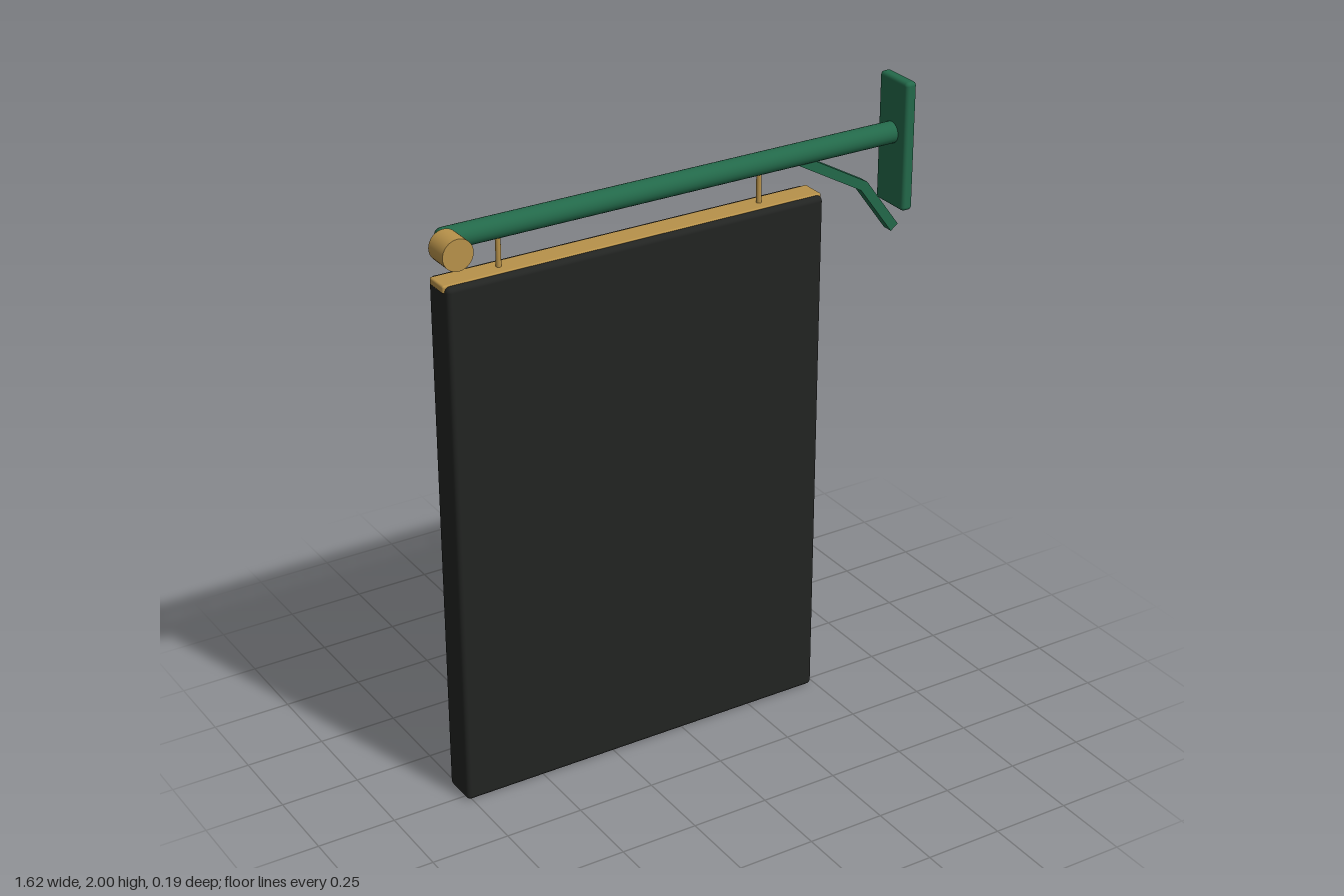
import * as THREE from 'three';
import { RoundedBoxGeometry } from 'three/addons/geometries/RoundedBoxGeometry.js';

const Z = -0.027; // depth of the sign's middle plane

export function createModel() {
  const group = new THREE.Group();
  const green = new THREE.MeshStandardMaterial({ color: 0x23694a });
  const gold = new THREE.MeshStandardMaterial({ color: 0xb8924a });
  const dark = new THREE.MeshStandardMaterial({ color: 0x222422 });

  const add = (name, geometry, material, x, y, z = Z) => {
    const mesh = new THREE.Mesh(geometry, material);
    mesh.name = name;
    mesh.position.set(x, y, z);
    group.add(mesh);
    return mesh;
  };

  // Hanging board with softened edges, and the trim along its top
  add('signBoard', new RoundedBoxGeometry(1.255, 1.7, 0.117, 3, 0.015), dark, -0.138, 0.85);
  add('topTrim', new RoundedBoxGeometry(1.264, 0.024, 0.08, 2, 0.006), gold, -0.139, 1.692);

  // Hanger rods between pole and board
  for (const x of [-0.573, 0.297]) {
    add('hangerRod', new THREE.CylinderGeometry(0.008, 0.008, 0.12, 16), gold, x, 1.75);
  }

  // Horizontal pole with rounded ends, turned about its own axis
  const R = 0.034, L = 1.555, B = 0.016;
  const profile = [new THREE.Vector2(0, 0)];
  for (let i = 0; i <= 4; i++) {
    const a = (i / 4) * Math.PI / 2;
    profile.push(new THREE.Vector2(R - B + B * Math.sin(a), B - B * Math.cos(a)));
  }
  for (const p of profile.slice().reverse()) profile.push(new THREE.Vector2(p.x, L - p.y));
  const pole = add('pole', new THREE.LatheGeometry(profile, 24), green, -0.76, 1.826);
  pole.rotation.z = -Math.PI / 2;

  // Finial drum on the front of the pole's free end
  const finial = add('finial', new THREE.CylinderGeometry(0.048, 0.048, 0.083, 32), gold, -0.762, 1.828, 0.0555);
  finial.rotation.x = Math.PI / 2;

  // Wall plate
  add('wallPlate', new RoundedBoxGeometry(0.038, 0.41, 0.139, 3, 0.012), green, 0.79, 1.795);

  // Bent brace: flat bar outlined around its centre line
  const path = [[0.42, 1.818], [0.665, 1.68], [0.782, 1.52]].map(p => new THREE.Vector2(...p));
  const h = 0.0155;
  const normal = (a, b) => new THREE.Vector2(a.y - b.y, b.x - a.x).normalize();
  const n0 = normal(path[0], path[1]), n1 = normal(path[1], path[2]);
  const miter = n0.clone().add(n1).divideScalar(1 + n0.dot(n1));
  const offsets = [n0, miter, n1];
  const side = s => path.map((p, i) => p.clone().addScaledVector(offsets[i], s * h));
  const braceShape = new THREE.Shape([...side(-1), ...side(1).reverse()]);
  const braceGeometry = new THREE.ExtrudeGeometry(braceShape, { depth: 0.036, bevelEnabled: false });
  add('brace', braceGeometry, green, 0, 0, Z - 0.018);

  return group;
}
